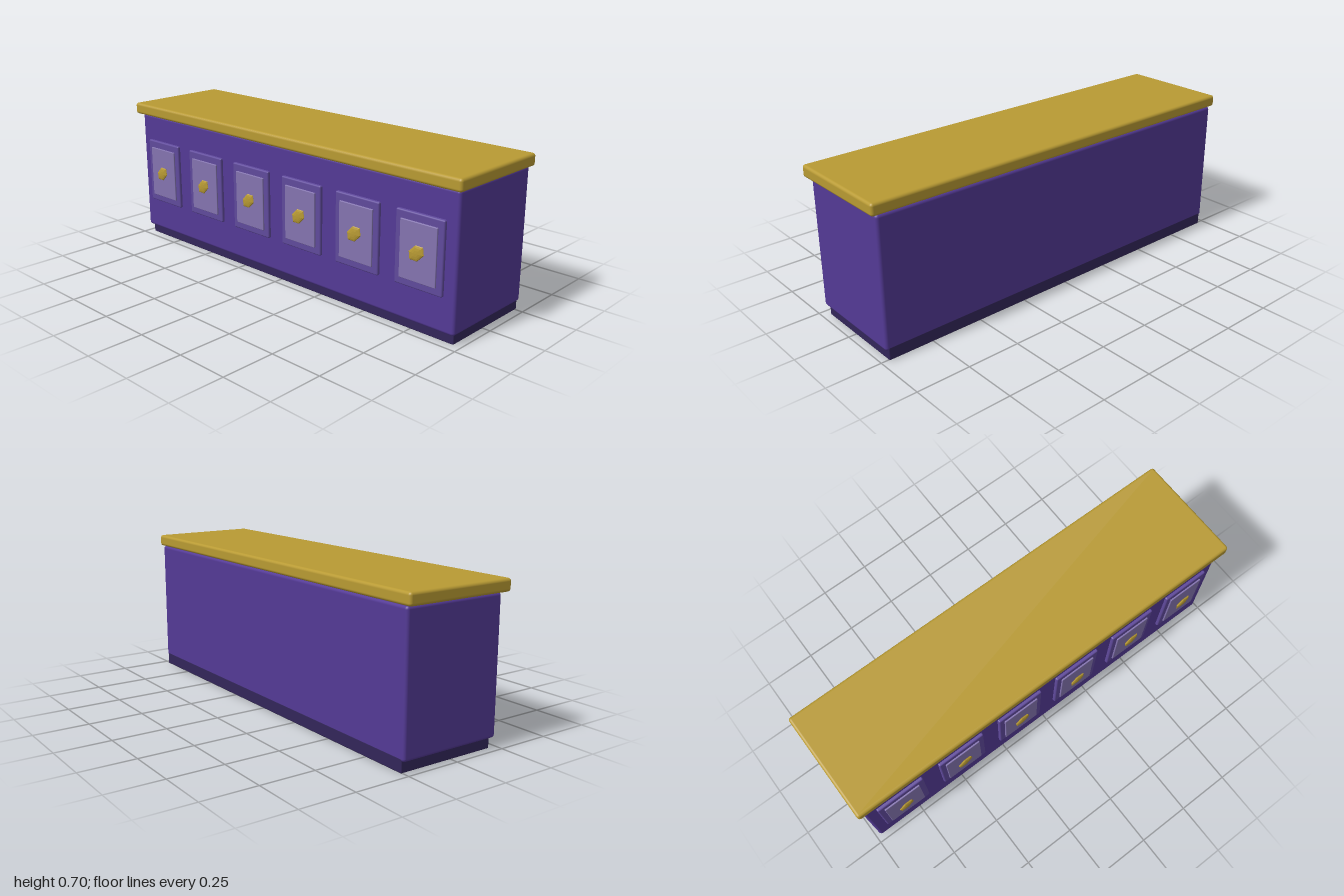
import * as THREE from 'three';
import { RoundedBoxGeometry } from 'three/addons/geometries/RoundedBoxGeometry.js';

const paint = (color) => new THREE.MeshStandardMaterial({ color });
const gold = paint(0xb89a33);
const purple = paint(0x543a96);
const darkPurple = paint(0x33265a);
const framePurple = paint(0x604a9c);
const lilac = paint(0x8474b0);

// Rounded block given by its limits on each axis
function block(name, [x0, x1], [y0, y1], [z0, z1], radius, material) {
  const mesh = new THREE.Mesh(
    new RoundedBoxGeometry(x1 - x0, y1 - y0, z1 - z0, 3, radius), material);
  mesh.position.set((x0 + x1) / 2, (y0 + y1) / 2, (z0 + z1) / 2);
  mesh.name = name;
  return mesh;
}

// Flattened six-sided knob, skewed towards the upper right
function knobGeometry() {
  const g = new THREE.SphereGeometry(1, 6, 8);
  g.rotateX(Math.PI / 2);
  const a = [0.032, 0.032], b = [0.037, -0.001];
  const s = Math.sqrt(3) / 2;
  const p = g.attributes.position;
  for (let i = 0; i < p.count; i++) {
    // Coordinates along two neighbouring corners of the regular hexagon
    const v = p.getY(i) / s, u = p.getX(i) - v / 2;
    p.setXYZ(i, u * b[0] + v * a[0], u * b[1] + v * a[1], p.getZ(i) * 0.007);
  }
  const flat = g.toNonIndexed();
  flat.computeVertexNormals();
  return flat;
}

export function createModel() {
  const model = new THREE.Group();
  model.name = 'counter';

  model.add(
    block('plinth', [-0.965, 0.965], [0, 0.06], [-0.258, 0.21], 0.005, darkPurple),
    block('body', [-0.978, 0.978], [0.045, 0.645], [-0.258, 0.231], 0.014, purple),
    block('countertop', [-1, 1], [0.645, 0.7], [-0.265, 0.26], 0.013, gold),
  );

  // Six raised front panels, each with an inset and a knob
  const knobGeo = knobGeometry();
  for (let i = 0; i < 6; i++) {
    const panel = new THREE.Group();
    panel.name = 'frontPanel' + (i + 1);
    panel.position.x = (i - 2.5) * 0.322;
    const knob = new THREE.Mesh(knobGeo, gold);
    knob.name = 'knob';
    knob.position.set(0, 0.359, 0.259);
    panel.add(
      block('panelFrame', [-0.118, 0.118], [0.2, 0.518], [0.217, 0.245], 0.007, framePurple),
      block('panelInset', [-0.09, 0.09], [0.233, 0.483], [0.238, 0.252], 0.003, lilac),
      knob,
    );
    model.add(panel);
  }
  return model;
}
